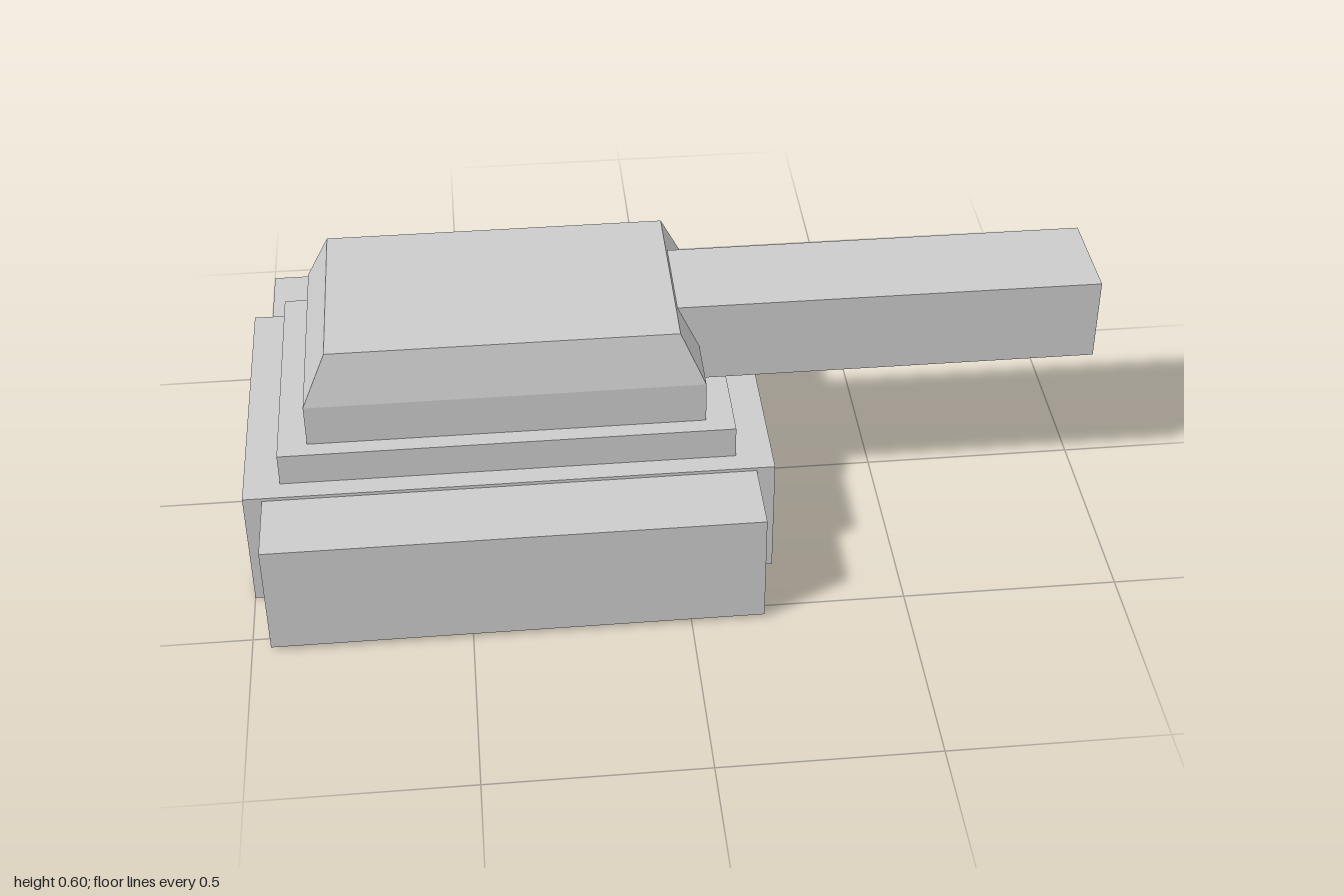
import * as THREE from 'three';

const material = new THREE.MeshStandardMaterial({ color: 0xcccccc, flatShading: true });

// Box given by its lower and upper limits on each axis
function block(name, [x0, x1], [y0, y1], [z0, z1]) {
  const mesh = new THREE.Mesh(new THREE.BoxGeometry(x1 - x0, y1 - y0, z1 - z0), material);
  mesh.position.set((x0 + x1) / 2, (y0 + y1) / 2, (z0 + z1) / 2);
  mesh.name = name;
  return mesh;
}

// Turret: straight lower walls, then sloped walls up to a smaller roof
function createTurret() {
  const bottom = 0.373, shoulder = 0.475, top = 0.597;
  const geometry = new THREE.BoxGeometry(0.91, 2, 0.536, 1, 2, 1);
  const p = geometry.attributes.position;
  for (let i = 0; i < p.count; i++) {
    const level = Math.round(p.getY(i));
    p.setY(i, [bottom, shoulder, top][level + 1]);
    if (level === 1) {
      p.setX(i, Math.sign(p.getX(i)) * 0.399);
      p.setZ(i, Math.sign(p.getZ(i)) * 0.235);
    }
  }
  const flat = geometry.toNonIndexed();
  flat.computeVertexNormals();
  const turret = new THREE.Mesh(flat, material);
  turret.position.x = -0.395;
  turret.name = 'turret';
  return turret;
}

export function createModel() {
  const model = new THREE.Group();
  model.name = 'tank';

  // Hull and the stepped ring that carries the turret
  model.add(block('hull', [-1, 0.21], [0, 0.295], [-0.357, 0.357]));
  model.add(block('turretRing', [-0.917, 0.125], [0.295, 0.373], [-0.308, 0.308]));

  // Tracks along both sides
  model.add(block('frontTrack', [-0.957, 0.168], [0.01, 0.287], [0.357, 0.54]));
  model.add(block('backTrack', [-0.957, 0.168], [0.01, 0.287], [-0.54, -0.357]));

  // Turret and gun
  model.add(createTurret());
  model.add(block('barrel', [0.005, 1], [0.384, 0.587], [-0.12, 0.12]));

  return model;
}
